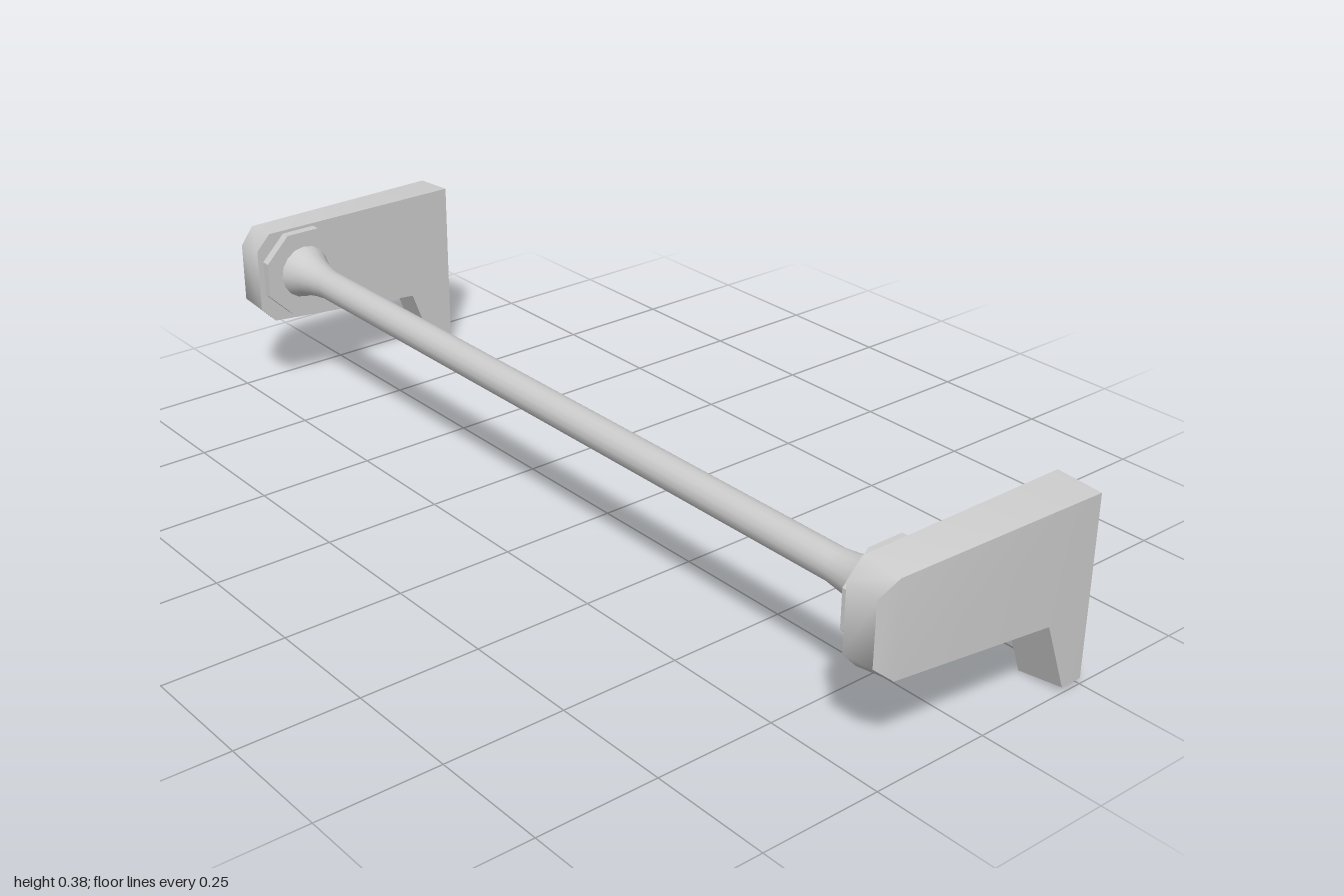
import * as THREE from 'three';
import { toCreasedNormals } from 'three/addons/utils/BufferGeometryUtils.js';

const AXIS_Y = 0.284, AXIS_Z = 0.145;
const material = new THREE.MeshStandardMaterial({ color: 0xcccccc });
const shellMaterial = new THREE.MeshStandardMaterial({ color: 0xcccccc, side: THREE.DoubleSide });

// Bracket side profiles as [x, y, z]: flat inner wall and slightly smaller, tapering outer wall
const inner = [
  [0.905, 0, -0.25], [0.905, 0, -0.2], [0.905, 0.143, -0.147], [0.905, 0.178, 0.217],
  [0.905, 0.213, 0.25], [0.905, 0.349, 0.25], [0.905, 0.383, 0.217], [0.905, 0.383, -0.25],
];
const outer = [
  [1, 0.012, -0.25], [1, 0.012, -0.202], [0.997, 0.152, -0.152], [0.986, 0.188, 0.214],
  [0.972, 0.218, 0.25], [0.972, 0.344, 0.25], [0.986, 0.377, 0.214], [1, 0.377, -0.25],
];

// Hollow bracket, open at the wall side
function bracketGeometry(side) {
  const positions = [];
  const quad = (a, b, c, d) => {
    const corners = side > 0 ? [a, b, c, a, c, d] : [a, c, b, a, d, c];
    for (const [x, y, z] of corners) positions.push(x * side, y, z);
  };
  for (const [a, b, c, d] of [[0, 1, 2, 7], [2, 3, 6, 7], [3, 4, 5, 6]]) {
    quad(inner[a], inner[b], inner[c], inner[d]);
    quad(outer[d], outer[c], outer[b], outer[a]);
  }
  for (let i = 0; i < 7; i++) quad(inner[i], outer[i], outer[i + 1], inner[i + 1]);
  const geometry = new THREE.BufferGeometry();
  geometry.setAttribute('position', new THREE.Float32BufferAttribute(positions, 3));
  return toCreasedNormals(geometry, THREE.MathUtils.degToRad(50));
}

export function createModel() {
  const model = new THREE.Group();
  model.name = 'towelRail';

  // Rail with flared ends, turned about the x axis
  const flare = [[0.06, 0.888], [0.052, 0.87], [0.044, 0.85], [0.037, 0.82], [0.032, 0.78]];
  const profile = [
    ...flare.map(([r, x]) => new THREE.Vector2(r, -x)),
    ...flare.slice().reverse().map(([r, x]) => new THREE.Vector2(r, x)),
  ];
  const rail = new THREE.Mesh(new THREE.LatheGeometry(profile, 16), material);
  rail.name = 'rail';
  rail.rotation.z = -Math.PI / 2;
  rail.position.set(0, AXIS_Y, AXIS_Z);
  model.add(rail);

  for (const side of [1, -1]) {
    const label = side > 0 ? 'left' : 'right';

    const bracket = new THREE.Mesh(bracketGeometry(side), shellMaterial);
    bracket.name = label + 'Bracket';
    model.add(bracket);

    // Octagonal mounting plate with flats up and forward
    const plate = new THREE.CylinderGeometry(0.1, 0.1, 0.022, 8);
    plate.rotateY(Math.PI / 8);
    plate.rotateZ(-Math.PI / 2);
    const flange = new THREE.Mesh(toCreasedNormals(plate, 0.5), material);
    flange.name = label + 'Flange';
    flange.position.set(side * 0.896, AXIS_Y, AXIS_Z);
    model.add(flange);
  }
  return model;
}
